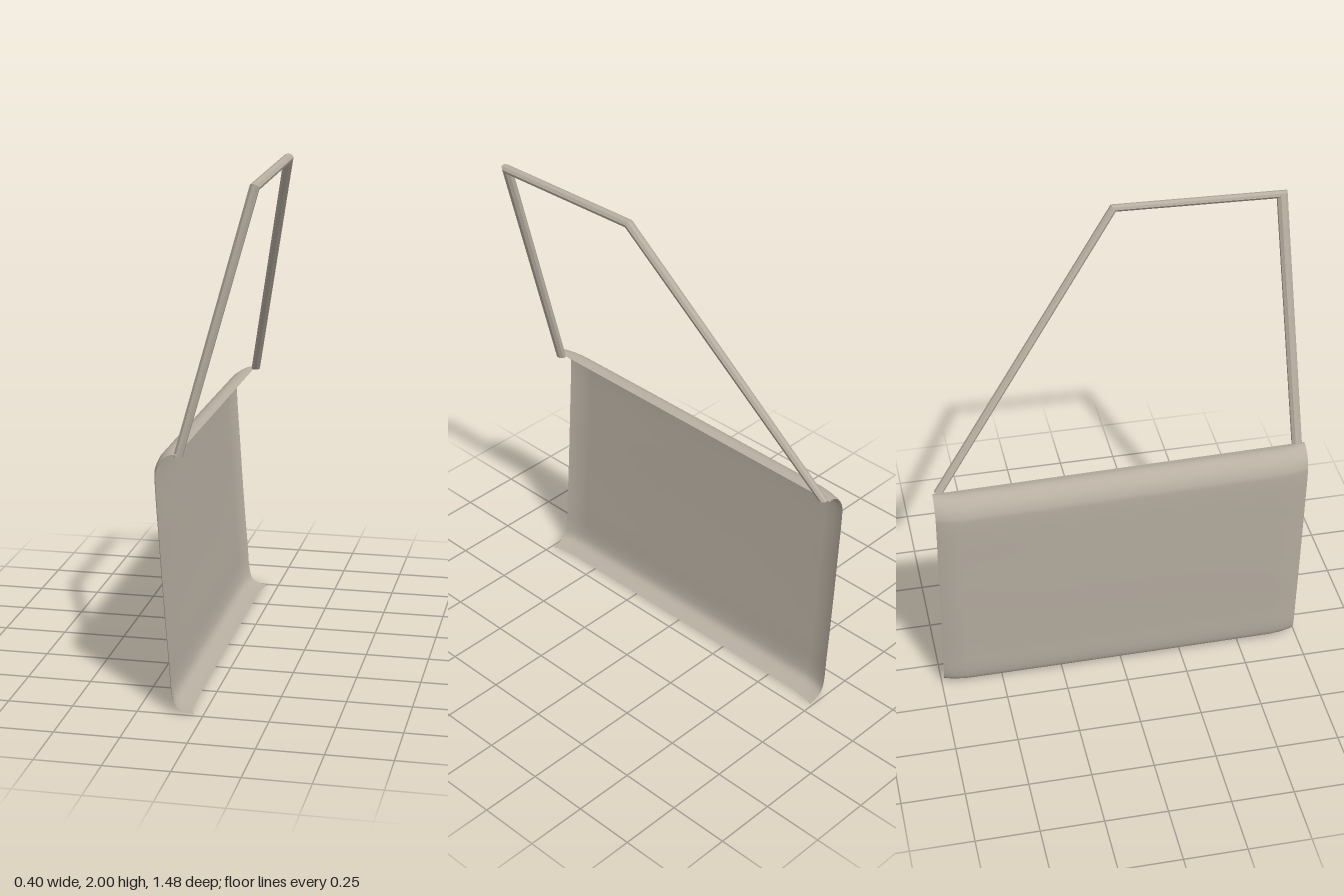
import * as THREE from 'three';

const paint = new THREE.MeshStandardMaterial({ color: 0xb8afa2, side: THREE.DoubleSide });
paint.name = 'beigePaint';
const framePaint = paint.clone();
framePaint.name = 'beigeFramePaint';
framePaint.flatShading = true;

// Loft a surface through rows of points
function loft(rows) {
  const n = rows[0].length, index = [];
  for (let i = 0; i < rows.length - 1; i++) {
    for (let j = 0; j < n - 1; j++) {
      const a = i * n + j, b = a + n;
      index.push(a, b, a + 1, b, b + 1, a + 1);
    }
  }
  const g = new THREE.BufferGeometry().setFromPoints(rows.flat());
  g.setIndex(index);
  g.computeVertexNormals();
  return g;
}

// Thin outer skin: a vertical profile swept along z, curling inward at both ends
function doorSkin() {
  const profile = [
    [-0.062, 0], [-0.095, 0.008], [-0.125, 0.022], [-0.14, 0.05], [-0.154, 0.2], [-0.171, 0.42],
    [-0.186, 0.65], [-0.2, 0.89], [-0.198, 0.92], [-0.182, 0.957], [-0.155, 0.983],
    [-0.13, 0.99], [-0.1, 0.985],
  ];
  const stations = [[-0.74, 0.022], [-0.725, 0.016], [-0.69, 0.007], [-0.64, 0.001], [-0.3, 0],
    [0, 0], [0.3, 0], [0.64, 0.001], [0.69, 0.007], [0.725, 0.016], [0.74, 0.022]];
  const curve = new THREE.CatmullRomCurve3(
    profile.map(([x, y]) => new THREE.Vector3(x, y, 0)), false, 'centripetal');
  const section = curve.getPoints(60);
  return loft(stations.map(([z, curl]) => section.map((p, i) => {
    const fade = i > 55 ? (60 - i) / 5 : 1; // the top lip stays straight
    return new THREE.Vector3(p.x + curl * fade + 0.006 * z, Math.max(0, p.y * (1 + 0.012 * z)), z);
  })));
}

// Window frame: eight-sided bar, mitred at the two upper corners
function windowFrame() {
  const lean = 0.28;
  // centre x, y, z; then outward half width in y and z
  const corners = [
    [-0.095, 0.985, 0.712, 0, 0.02],
    [0.18, 1.968, 0.68, 0.013, 0.02],
    [0.18, 1.985, 0.03, 0.013, -0.008],
    [-0.095, 0.978, -0.712, 0, -0.018],
  ];
  const sides = 8;
  const rows = corners.map(([x, y, z, my, mz], k) => {
    const tilt = k === 1 || k === 2 ? -0.005 : 0;
    return Array.from({ length: sides + 1 }, (_, i) => {
      const a = ((i + 0.5) / sides) * Math.PI * 2;
      const c = Math.cos(a) * 1.06, s = Math.sin(a) * 1.06;
      return new THREE.Vector3(x + c * my * lean + s * 0.017, y + c * my + s * tilt, z + c * mz);
    });
  });
  // Close both lower ends
  const cap = (k) => Array.from({ length: sides + 1 }, () => new THREE.Vector3(...corners[k].slice(0, 3)));
  return loft([cap(0), ...rows, cap(3)]);
}

export function createModel() {
  const door = new THREE.Group();
  door.name = 'door';
  const add = (name, geometry, material) => {
    const mesh = new THREE.Mesh(geometry, material);
    mesh.name = name;
    door.add(mesh);
  };
  add('doorSkin', doorSkin(), paint);
  add('windowFrame', windowFrame(), framePaint);
  return door;
}
